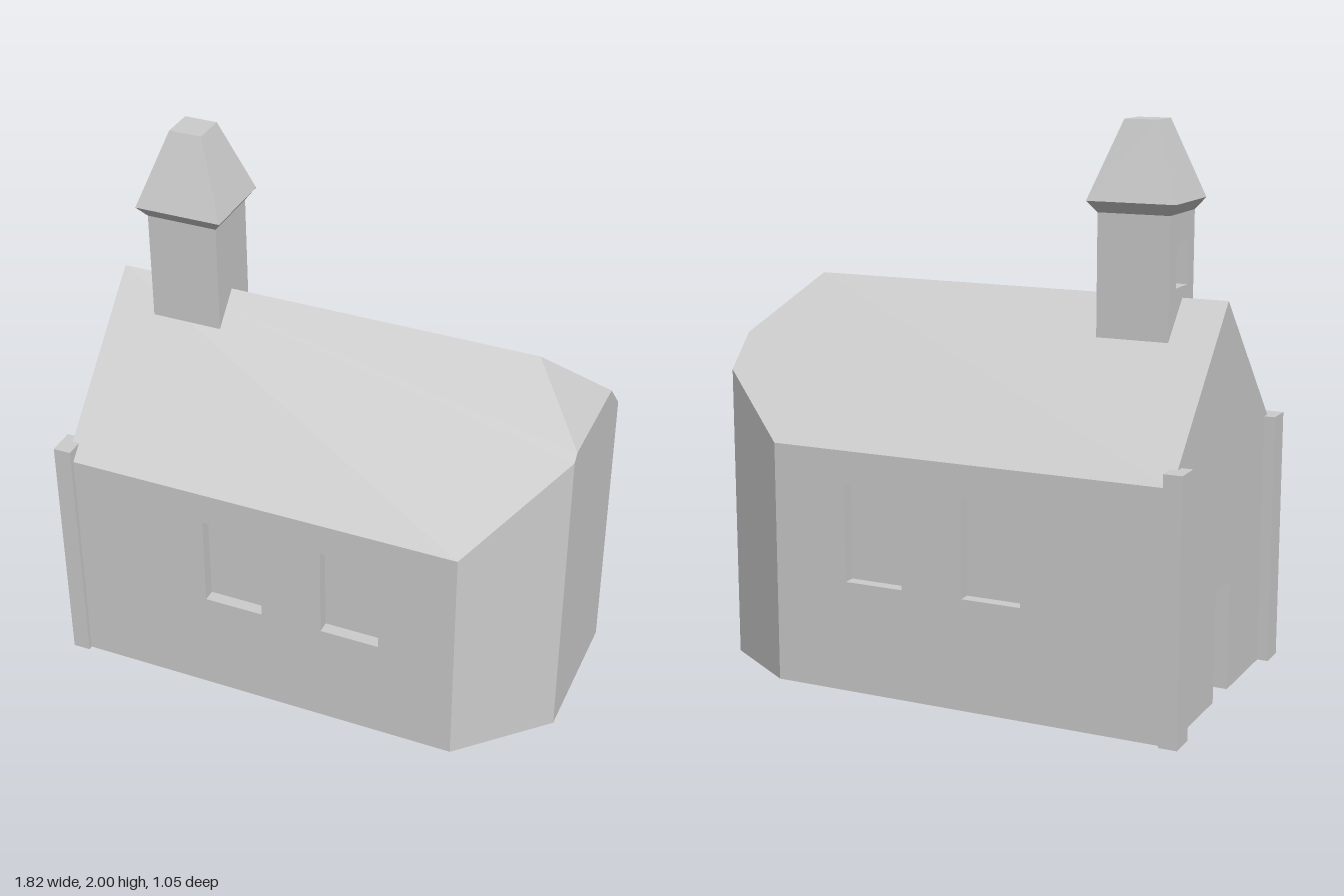
import * as THREE from 'three';
import { mergeGeometries } from 'three/addons/utils/BufferGeometryUtils.js';

const stone = new THREE.MeshStandardMaterial({ color: 0xcccccc });
stone.name = 'pale grey';

// Roof slope shared by walls, gable and apse
const EAVE = 0.87, RIDGE = 1.4, HALF = 0.51, WEST = -0.87, EAST = 0.905, BEND = 0.61;
const roofY = z => RIDGE - (RIDGE - EAVE) * Math.abs(z) / HALF;

// Flat convex face from corners listed counter-clockwise seen from outside
function face(corners) {
  const positions = [];
  for (let i = 1; i < corners.length - 1; i++) {
    positions.push(...corners[0], ...corners[i], ...corners[i + 1]);
  }
  const g = new THREE.BufferGeometry();
  g.setAttribute('position', new THREE.Float32BufferAttribute(positions, 3));
  g.computeVertexNormals();
  return g;
}

function flat(g) {
  const f = g.toNonIndexed();
  f.deleteAttribute('uv');
  f.computeVertexNormals();
  return f;
}

function toShape(points) {
  return new THREE.Shape(points.map(p => new THREE.Vector2(...p)));
}

// Inside-out box without its front, so an opening gets reveals and a back
function recess([x0, x1, y0, y1], depth) {
  const box = new THREE.BoxGeometry(x1 - x0, y1 - y0, depth);
  const index = Array.from(box.index.array);
  const noFloor = y0 === 0;
  box.setIndex(index.filter((_, i) => !(i >= 24 && i < 30) && !(noFloor && i >= 18 && i < 24)));
  box.scale(-1, 1, 1);
  box.translate((x0 + x1) / 2, (y0 + y1) / 2, -depth / 2);
  return flat(box);
}

// Wall panel in its own xy plane facing +z, with recessed openings
function panel(outline, openings, depth) {
  const shape = toShape(outline);
  for (const [x0, x1, y0, y1] of openings) {
    if (y0 > 0) shape.holes.push(toShape([[x0, y0], [x0, y1], [x1, y1], [x1, y0]]));
  }
  return mergeGeometries([flat(new THREE.ShapeGeometry(shape)), ...openings.map(o => recess(o, depth))]);
}

// Four-sided ring between two rectangles [x0, x1, z0, z1, y]
function ring(lower, upper, skipWest = false) {
  const loop = ([x0, x1, z0, z1, y]) => [[x0, y, z1], [x1, y, z1], [x1, y, z0], [x0, y, z0]];
  const a = loop(lower), b = loop(upper), sides = [];
  for (let i = 0; i < (skipWest ? 3 : 4); i++) {
    const j = (i + 1) % 4;
    sides.push(face([a[i], a[j], b[j], b[i]]));
  }
  return mergeGeometries(sides);
}

export function createModel() {
  const model = new THREE.Group();
  model.name = 'chapel';
  const add = (name, geometry, parent = model) => {
    const mesh = new THREE.Mesh(geometry, stone);
    mesh.name = name;
    parent.add(mesh);
    return mesh;
  };

  // Long side walls with two windows each
  const windows = [[-0.34, -0.12, 0.4, 0.75], [0.11, 0.33, 0.4, 0.75]];
  add('frontWall', panel([[WEST, 0], [BEND, 0], [BEND, EAVE], [WEST, EAVE]], windows, 0.045)
    .translate(0, 0, HALF));
  const backWindows = windows.map(([a, b, c, d]) => [-b, -a, c, d]);
  add('backWall', panel([[-BEND, 0], [-WEST, 0], [-WEST, EAVE], [-BEND, EAVE]], backWindows, 0.045)
    .rotateY(Math.PI).translate(0, 0, -HALF));

  // Gable wall with the doorway cut down to the ground
  const door = [-0.065, 0.085, 0, 0.4], doorDepth = 0.05;
  add('gableWall', panel([
    [-HALF, 0], [door[0], 0], [door[0], door[3]], [door[1], door[3]], [door[1], 0],
    [HALF, 0], [HALF, EAVE], [0, RIDGE], [-HALF, EAVE],
  ], [door], doorDepth).rotateY(-Math.PI / 2).translate(WEST, 0, 0));

  // Angled end walls
  const zf = 0.225, zb = -0.315, zh = 0.2;
  add('apseFrontWall', face([[BEND, 0, HALF], [EAST, 0, zf], [EAST, roofY(zf), zf], [BEND, EAVE, HALF]]));
  add('apseBackWall', face([[EAST, 0, zb], [BEND, 0, -HALF], [BEND, EAVE, -HALF], [EAST, roofY(zb), zb]]));
  add('apseEndWall', face([
    [EAST, 0, zf], [EAST, 0, zb], [EAST, roofY(zb), zb],
    [EAST, roofY(zh), -zh], [EAST, roofY(zh), zh], [EAST, roofY(zf), zf],
  ]));

  // Roof slopes and the small hip
  const peak = [0.7, RIDGE, 0], westPeak = [WEST, RIDGE, 0];
  add('frontRoof', face([
    westPeak, [WEST, EAVE, HALF], [BEND, EAVE, HALF],
    [EAST, roofY(zf), zf], [EAST, roofY(zh), zh], peak,
  ]));
  add('backRoof', face([
    peak, [EAST, roofY(zh), -zh], [EAST, roofY(zb), zb],
    [BEND, EAVE, -HALF], [WEST, EAVE, -HALF], westPeak,
  ]));
  add('hipRoof', face([peak, [EAST, roofY(zh), zh], [EAST, roofY(zh), -zh]]));

  // Underside, notched at the doorway
  const inner = WEST + doorDepth;
  add('floor', flat(new THREE.ShapeGeometry(toShape([
    [WEST, -HALF], [BEND, -HALF], [EAST, zb], [EAST, zf], [BEND, HALF], [WEST, HALF],
    [WEST, door[1]], [inner, door[1]], [inner, door[0]], [WEST, door[0]],
  ])).rotateX(Math.PI / 2)));

  // Corner pilasters
  for (const [side, name] of [[1, 'frontPilaster'], [-1, 'backPilaster']]) {
    add(name, new THREE.BoxGeometry(0.065, 0.92, 0.1)).position.set(-0.8775, 0.46, side * 0.477);
  }

  // Bell tower: shaft with a window, flared cornice and cut-off spire
  const tower = new THREE.Group();
  tower.name = 'tower';
  model.add(tower);
  const [x0, x1, z0, z1] = [-0.705, -0.445, -0.13, 0.105];
  const grow = (d, y) => [x0 - d, x1 + d, z0 - d, z1 + d, y];
  const base = 1.2, shaftTop = 1.69, corniceTop = 1.73;
  add('towerShaft', ring(grow(0, base), grow(0, shaftTop), true), tower);
  add('towerWindowWall', panel([[z0, base], [z1, base], [z1, shaftTop], [z0, shaftTop]],
    [[-0.065, 0.045, 1.44, 1.59]], 0.04).rotateY(-Math.PI / 2).translate(x0, 0, 0), tower);
  add('towerCornice', ring(grow(0, shaftTop), grow(0.03, corniceTop)), tower);
  const [a, b, c, d] = [-0.635, -0.515, -0.075, 0.045];
  add('towerSpire', ring(grow(0.03, corniceTop), [a, b, c, d, 2]), tower);
  add('spireCap', face([[a, 2, d], [b, 2, d], [b, 2, c], [a, 2, c]]), tower);

  return model;
}
